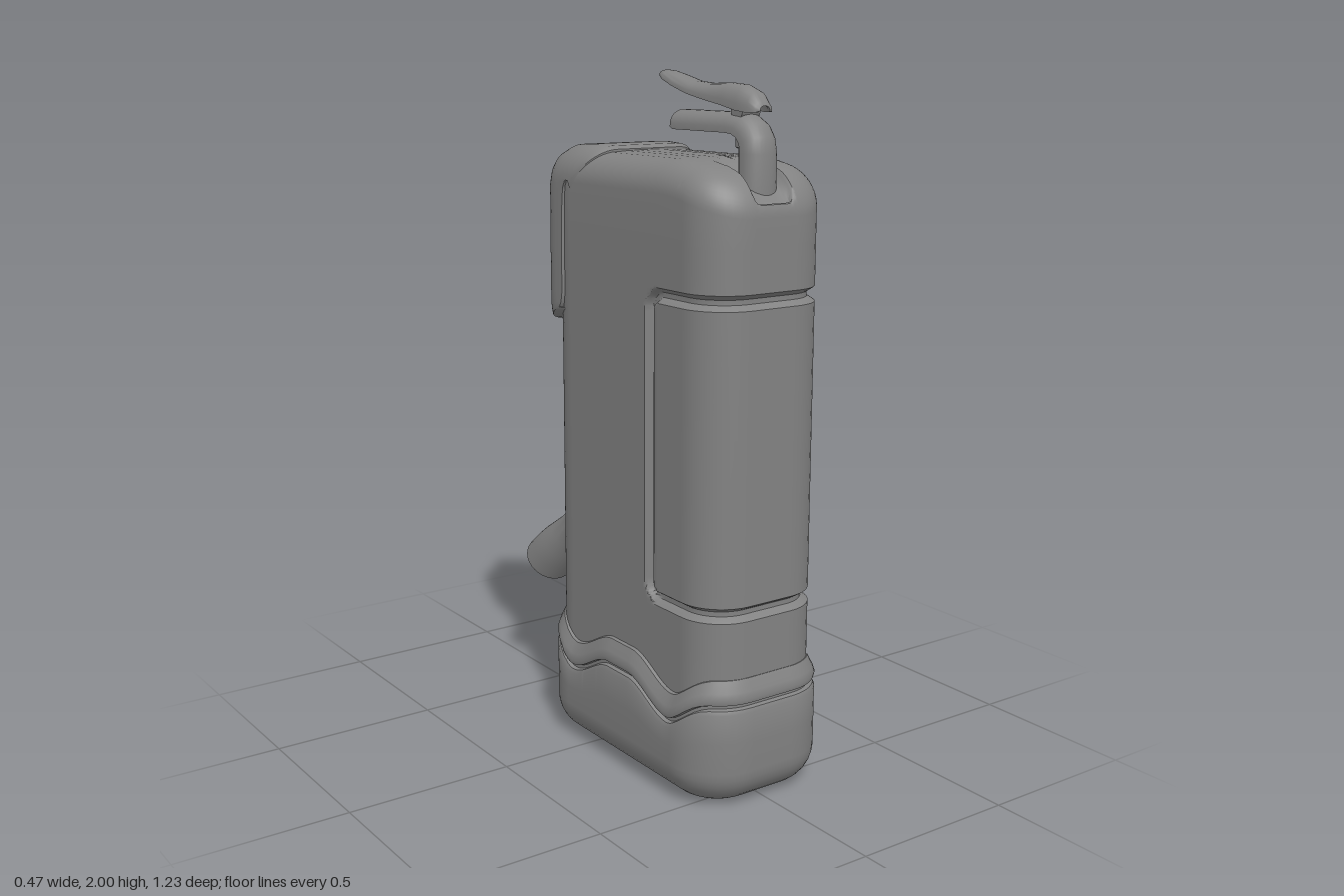
import * as THREE from 'three';
import { toCreasedNormals } from 'three/addons/utils/BufferGeometryUtils.js';

const CZ = 0.185; // centre of the body in z
const material = new THREE.MeshStandardMaterial({ color: 0x828282, side: THREE.DoubleSide });

// Surface through rows of [x, y, z] points; closed joins each row's ends
function grid(rows, closed, crease = 0.7) {
  const n = rows[0].length, index = [];
  for (let j = 0; j < rows.length - 1; j++) {
    for (let i = 0; i < (closed ? n : n - 1); i++) {
      const a = j * n + i, b = j * n + (i + 1) % n;
      index.push(a, b, b + n, a, b + n, a + n);
    }
  }
  const g = new THREE.BufferGeometry();
  g.setAttribute('position', new THREE.Float32BufferAttribute(rows.flat(2), 3));
  g.setIndex(index);
  return toCreasedNormals(g, crease);
}

// Rounded rectangle in plan, as {x, z, nx, nz} with outward normals
function ring(hx, hz, r) {
  const half = [], cx = hx - r, cz = hz - r, C = 10, S = 72;
  const ends = [0, 0.3, 0.55, 0.65, 0.75, 0.85, 0.93];
  for (const f of ends) half.push({ x: cx * f, z: hz, nx: 0, nz: 1 });
  const corner = (a, s) => half.push({ x: cx + r * Math.sin(a), z: s * cz + r * Math.cos(a), nx: Math.sin(a), nz: Math.cos(a) });
  for (let k = 0; k <= C; k++) corner(k / C * Math.PI / 2, 1);
  for (let k = 1; k < S; k++) half.push({ x: hx, z: cz * (1 - 2 * k / S), nx: 1, nz: 0 });
  for (let k = 0; k <= C; k++) corner((1 + k / C) * Math.PI / 2, -1);
  for (const f of ends.reverse()) half.push({ x: cx * f, z: -hz, nx: 0, nz: -1 });
  const other = half.slice(1, -1).reverse().map(p => ({ ...p, x: -p.x, nx: -p.nx }));
  return half.concat(other);
}
const insetRing = (hx, hz, r, d) => ring(hx - d, hz - d, Math.max(r - d, 0));

const { smoothstep } = THREE.MathUtils;

// Groove that frames the front panel: a rounded rectangle open to the front
function grooveDepth(y, z) {
  const r = 0.045;
  const qy = Math.abs(y - 0.988) - 0.426 + r, qz = 0.307 - z + r;
  const d = Math.hypot(Math.max(qy, 0), Math.max(qz, 0)) + Math.min(Math.max(qy, qz), 0) - r;
  return 0.022 * (1 - smoothstep(Math.abs(d), 0.006, 0.021));
}

// Pocket in the top around the foot of the handle
const pocketDepth = (x, z) => 0.035 * (1 - smoothstep(Math.abs(x), 0.052, 0.07))
  * smoothstep(z, 0.39, 0.47) * (1 - smoothstep(z, 0.568, 0.59));

function bodyGeometry() {
  const rows = [[0.28, 0], [0.45, 0]];
  for (let k = -5; k <= 12; k++) rows.push([0.562 + k * 0.007, 0]);
  for (let y = 0.75; y < 1.3; y += 0.1) rows.push([y, 0]);
  for (let k = -12; k <= 5; k++) rows.push([1.414 + k * 0.007, 0]);
  rows.push([1.55, 0]);
  for (let k = 0; k <= 12; k++) {
    const a = k / 12 * Math.PI / 2;
    rows.push([1.685 + 0.088 * Math.sin(a), 0.09 * (1 - Math.cos(a))]);
  }
  rows.push([1.774, 0.11], [1.775, 0.13], [1.775, 0.15], [1.776, 0.17], [1.776, 0.205]);
  return grid(rows.map(([y, d]) => insetRing(0.205, 0.408, 0.13, d).map(p => {
    const z = p.z + CZ, g = grooveDepth(y, z);
    const drop = y > 1.6 ? 0.8 * Math.max(0, z - 0.33) ** 2 + pocketDepth(p.x, z) : 0;
    return [p.x - p.nx * g, y - drop, z - p.nz * g];
  })), true);
}

// Wave of the base rim: 0 on crests, -0.07 in the dips
function wave(dz) {
  const u = Math.abs(dz);
  return -0.07 * (u < 0.24 ? smoothstep(u, 0.05, 0.24) : 1 - smoothstep(u, 0.24, 0.38));
}

function baseGeometry() {
  const rows = [[0, 0.235, 0], [0, 0.16, 0]]; // height, inset, share of the wave
  for (let k = 0; k <= 8; k++) {
    const a = k / 8 * Math.PI / 2;
    rows.push([0.11 * (1 - Math.cos(a)), 0.11 * (1 - Math.sin(a)), 0]);
  }
  rows.push([0.2, 0, 0.5], [0.285, 0, 1], [0.296, 0.005, 1], [0.3, 0.016, 1], [0.31, 0.016, 1],
    [0.313, 0.003, 1], [0.326, 0, 1], [0.345, 0.006, 1], [0.378, 0.021, 1], [0.383, 0.034, 1]);
  return grid(rows.map(([y, d, w]) => insetRing(0.235, 0.43, 0.16, d)
    .map(p => [p.x, y + w * wave(p.z), p.z + CZ])), true);
}

// Rear cover: an outline [z, y] that rolls inward along (dz, dy) towards both
// sides, where it runs forward to a front edge
function coverGeometry() {
  const outline = [
    [0.015, 1.78, -1, -1, -0.085], [0, 1.79, -0.9, -1, -0.09], [-0.06, 1.793, -0.6, -1, -0.1],
    [-0.16, 1.787, 0.2, -1, -0.107], [-0.21, 1.768, 0.6, -0.9, -0.111], [-0.24, 1.735, 0.9, -0.6, -0.114],
    [-0.255, 1.68, 1, -0.2, -0.117], [-0.256, 1.6, 1, 0, -0.123], [-0.257, 1.5, 1, 0, -0.125],
    [-0.257, 1.34, 1, 0.25, -0.126], [-0.255, 1.29, 1, 0.45, -0.132], [-0.247, 1.265, 1, 0.55, -0.142]];
  const R = 0.1, K = 10;
  const rows = outline.map(([z, y, dz, dy, front]) => {
    const half = [];
    for (let k = 0; k <= K; k++) {
      const a = k / K * Math.PI / 2, d = R * (1 - Math.cos(a));
      half.push([0.11 + R * Math.sin(a), y + dy * d, z + dz * d]);
    }
    const edge = half[K][1];
    half.push([0.21, edge, front], [0.19, edge, front + 0.005]);
    return [...half.map(([x, b, c]) => [-x, b, c]).reverse(), ...half];
  });
  // Lips that sink into the body
  rows.unshift(rows[0].map(([x, y, z]) => [x * 0.94, y - 0.04, z]));
  rows.push(rows[rows.length - 1].map(([x, y, z]) => [x * 0.94, y + 0.005, z + 0.06]));
  return grid(rows, false);
}

// Arched channel swept through frames [y, z, ny, nz, half width, height, wall]
function channel(frames) {
  const N = 14;
  return grid(frames.map(([y, z, ny, nz, w, h, t]) => {
    const pts = [];
    const add = (k, w, h) => {
      const a = k / N * Math.PI, s = Math.abs(Math.sin(a)) ** 0.8 * h;
      pts.push([-Math.cos(a) * w, y + ny * s, z + nz * s]);
    };
    for (let k = 0; k <= N; k++) add(k, w, h);
    for (let k = N; k >= 0; k--) add(k, w - t, h - t);
    return pts;
  }), true);
}

const lathe = (pts, n = 32) => toCreasedNormals(
  new THREE.LatheGeometry(pts.map(p => new THREE.Vector2(...p)), n), 0.6);

export function createModel() {
  const model = new THREE.Group();
  const add = (name, geometry, x = 0, y = 0, z = 0) => {
    const mesh = new THREE.Mesh(geometry, material);
    mesh.name = name;
    mesh.position.set(x, y, z);
    model.add(mesh);
    return mesh;
  };

  add('body', bodyGeometry());
  add('base', baseGeometry());
  add('rearCover', coverGeometry());

  // Carrying handle: rises from the top, then bends back
  const s = Math.SQRT1_2;
  add('carryHandle', channel([
    [1.66, 0.5, 0, 1, 0.054, 0.052, 0.018], [1.79, 0.5, 0, 1, 0.054, 0.052, 0.018],
    [1.815, 0.495, 0.38, 0.92, 0.054, 0.052, 0.018], [1.832, 0.48, s, s, 0.054, 0.054, 0.018],
    [1.84, 0.46, 0.92, 0.38, 0.054, 0.054, 0.018], [1.842, 0.43, 1, 0, 0.054, 0.053, 0.018],
    [1.842, 0.2, 1, 0, 0.052, 0.053, 0.018], [1.848, 0.185, 1, 0, 0.05, 0.047, 0.016],
    [1.848, 0.185, 1, 0, 0.034, 0.031, 0]]));

  // Squeeze lever: [z, top, bottom, half width]
  const lever = [[0.535, 1.913, 1.9, 0.016], [0.528, 1.925, 1.896, 0.029], [0.505, 1.95, 1.895, 0.038],
    [0.46, 1.966, 1.9, 0.042], [0.4, 1.97, 1.912, 0.042], [0.32, 1.967, 1.925, 0.043], [0.25, 1.972, 1.938, 0.043],
    [0.18, 1.988, 1.958, 0.042], [0.13, 1.998, 1.975, 0.038], [0.105, 2, 1.985, 0.028], [0.097, 1.996, 1.99, 0.014]];
  add('squeezeLever', channel(lever.map(([z, t, b, w], i) =>
    [b, z, 1, 0, w, t - b, i === 0 || i === lever.length - 1 ? 0 : Math.min(0.012, (t - b) * 0.5)])));
  add('leverPivot', new THREE.CylinderGeometry(0.025, 0.025, 0.06, 20).rotateZ(Math.PI / 2), 0, 1.9, 0.455);

  // Valve under the handle
  add('valveStem', lathe([[0.028, 1.72], [0.028, 1.8], [0.036, 1.805], [0.036, 1.828], [0.022, 1.834], [0.022, 1.86]], 24), 0, 0, 0.472);

  // Stepped hose coupling on the rear cover
  add('hoseCoupling', lathe([[0.085, -0.02], [0.085, 0.025], [0.08, 0.03], [0.062, 0.033], [0.062, 0.053],
    [0.073, 0.056], [0.073, 0.078], [0.045, 0.08], [0.042, 0.085], [0, 0.085]]).rotateX(-Math.PI / 2), 0, 1.6, -0.258);

  // Hose and discharge horn
  const path = [[1.6, -0.32], [1.595, -0.37], [1.56, -0.425], [1.48, -0.455], [1.37, -0.452], [1.27, -0.415],
    [1.17, -0.358], [1.05, -0.3], [0.94, -0.27], [0.83, -0.266], [0.73, -0.295], [0.64, -0.345], [0.57, -0.405]];
  const curve = new THREE.CatmullRomCurve3(path.map(([y, z]) => new THREE.Vector3(0, y, z)));
  add('hose', new THREE.TubeGeometry(curve, 90, 0.033, 18));
  const horn = add('horn', lathe([[0.03, 0], [0.038, 0], [0.042, 0.04], [0.054, 0.09], [0.066, 0.14], [0.075, 0.19],
    [0.081, 0.247], [0.075, 0.247], [0.068, 0.19], [0.045, 0.09], [0, 0.03]]), 0, 0.58, -0.387);
  horn.quaternion.setFromUnitVectors(new THREE.Vector3(0, 1, 0), new THREE.Vector3(0, -0.18, -0.17).normalize());

  // Clip that holds the hose to the body
  add('clipPlate', new THREE.BoxGeometry(0.05, 0.07, 0.02), 0, 0.86, -0.227);
  for (const side of [-1, 1]) {
    for (const y of [0.84, 0.88]) {
      add('clipPeg', new THREE.SphereGeometry(0.012, 12, 8), side * 0.034, y, -0.23);
    }
  }
  return model;
}
